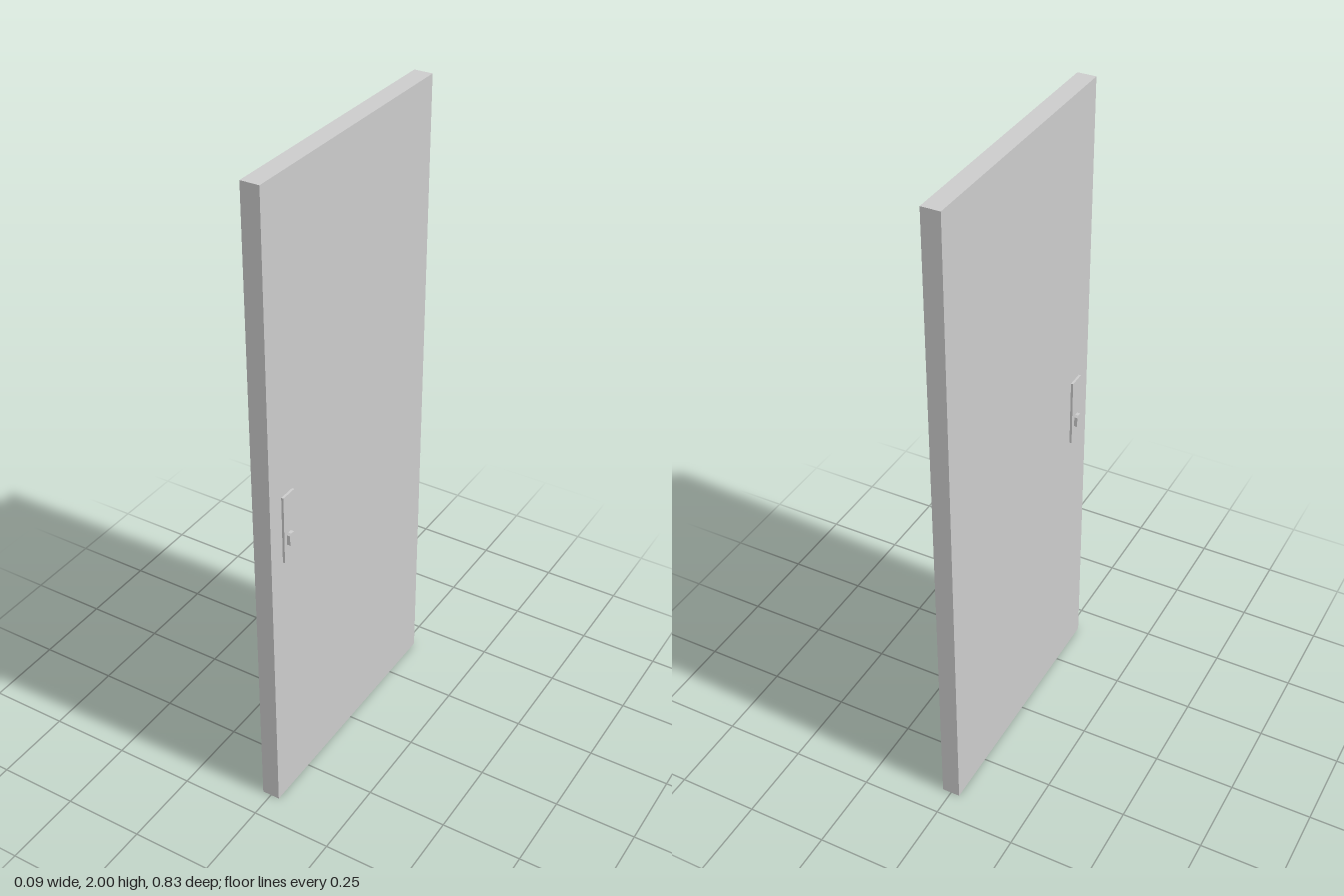
import * as THREE from 'three';

const material = new THREE.MeshStandardMaterial({ color: 0xcccccc, flatShading: true });

function part(name, geometry, x, y, z, parent) {
  const mesh = new THREE.Mesh(geometry, material);
  mesh.name = name;
  mesh.position.set(x, y, z);
  parent.add(mesh);
  return mesh;
}

// Upright latch outline with clipped corners, extruded along the depth
function latchGeometry(width, height, depth, clip) {
  const w = width / 2, h = height / 2;
  const outline = new THREE.Shape([
    [w, -h + clip], [w, h - clip], [w - clip, h], [-w + clip, h],
    [-w, h - clip], [-w, -h + clip], [-w + clip, -h], [w - clip, -h],
  ].map(([x, y]) => new THREE.Vector2(x, y)));
  return new THREE.ExtrudeGeometry(outline, { depth, bevelEnabled: false });
}

export function createModel() {
  const door = new THREE.Group();
  door.name = 'door';

  // Plain door leaf
  part('doorPanel', new THREE.BoxGeometry(0.056, 2, 0.83), 0, 1, 0, door);

  // Lock plate and turn latch on each face
  for (const side of [-1, 1]) {
    const lock = new THREE.Group();
    lock.name = side > 0 ? 'leftLock' : 'rightLock';
    lock.position.z = 0.333;
    part('lockPlate', new THREE.BoxGeometry(0.007, 0.217, 0.053), side * 0.0315, 0.97, 0, lock);
    const latch = part('turnLatch', latchGeometry(0.025, 0.043, 0.014, 0.006), side * 0.031, 0.933, 0.001, lock);
    latch.rotation.y = side * Math.PI / 2;
    door.add(lock);
  }
  return door;
}
